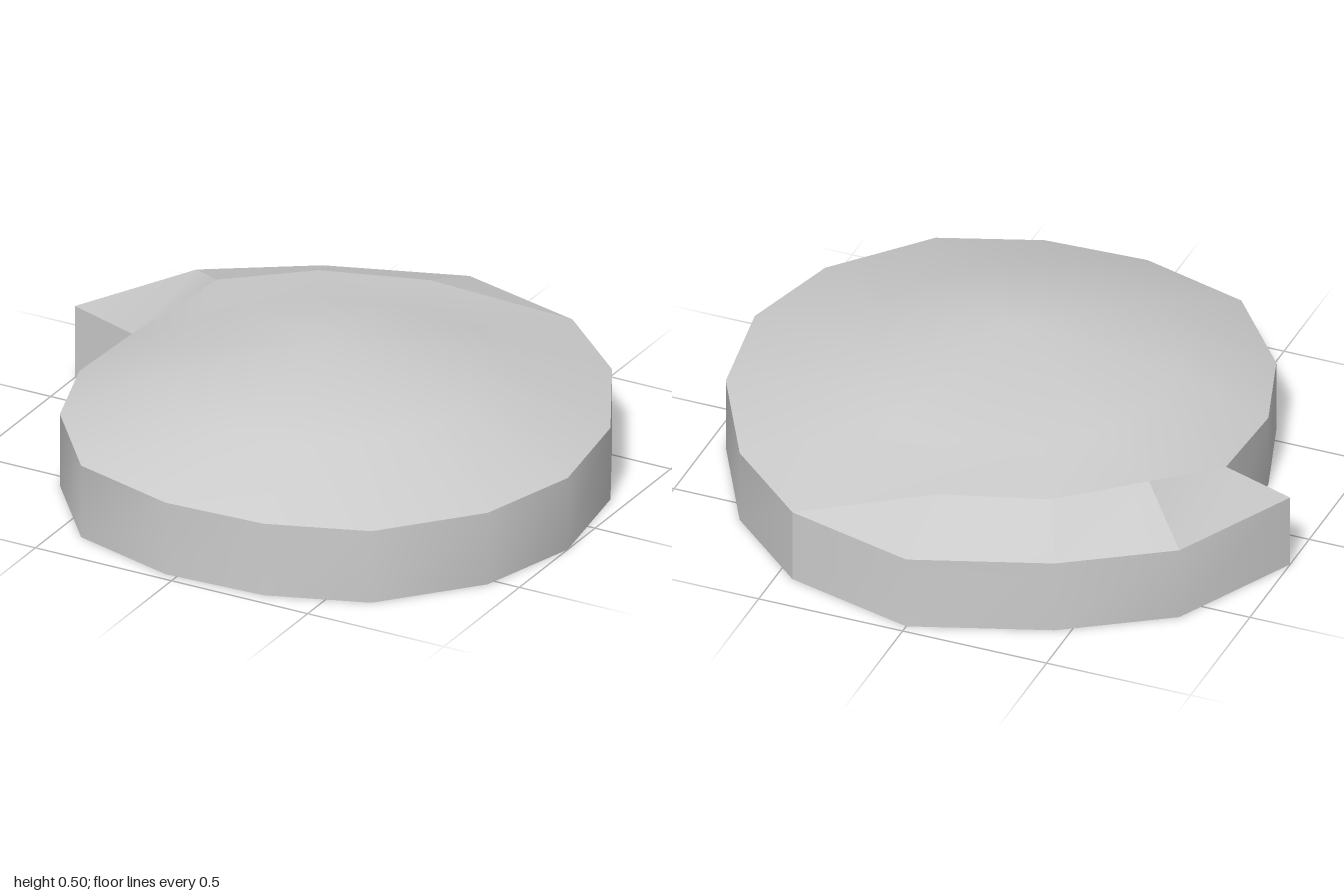
import * as THREE from 'three';
import { toCreasedNormals } from 'three/addons/utils/BufferGeometryUtils.js';

const RIM = 0.255; // height of the wall
const HOLLOW = 0.25; // rise of the underside compared with the roof
const CENTRE = [0.06, 0.11]; // apex position in x, z

// Main round rim, counter-clockwise seen from above (x, z)
const roundRim = [
  [-0.74, -0.07], [-0.755, 0.25], [-0.655, 0.56], [-0.41, 0.86], [-0.04, 0.967],
  [0.31, 0.95], [0.64, 0.83], [0.9, 0.53], [1, 0.18], [0.94, -0.21],
  [0.735, -0.59], [0.445, -0.85],
];
// Outer edge of the projecting lip, and the crest where it leaves the dome
const lipRim = [[0, -0.97], [-0.45, -0.81], [-0.79, -0.585], [-1, -0.16]];
const crest = [[0, -0.71], [-0.35, -0.6], [-0.6, -0.38]];

const at = (points, y) => points.map(([x, z]) => [x, y, z]);

// Quads between two open or closed rows of points
function strip(lower, upper, closed) {
  const faces = [];
  const n = lower.length;
  for (let i = 0; i < (closed ? n : n - 1); i++) {
    const j = (i + 1) % n;
    faces.push([lower[i], lower[j], upper[j]], [lower[i], upper[j], upper[i]]);
  }
  return faces;
}

// Triangles from a centre point to a closed loop
const fan = (centre, loop) => loop.map((p, i) => [centre, p, loop[(i + 1) % loop.length]]);

// A shallower copy of the roof at ground level, turned to face down
const undersideOf = (faces) =>
  faces.map(([a, b, c]) => [a, c, b].map(([x, y, z]) => [x, (y - RIM) * HOLLOW, z]));

function makeMesh(name, faces, crease) {
  const geometry = new THREE.BufferGeometry();
  geometry.setAttribute('position', new THREE.Float32BufferAttribute(faces.flat(2), 3));
  const mesh = new THREE.Mesh(
    toCreasedNormals(geometry, crease),
    new THREE.MeshStandardMaterial({ color: 0xcccccc }),
  );
  mesh.name = name;
  return mesh;
}

export function createModel() {
  const group = new THREE.Group();
  group.name = 'domedCap';

  // Shallow dome: apex, middle ring, then the rim and the raised crest
  const rim = at(roundRim, RIM);
  const inner = at(crest, 0.35);
  const domeEdge = [...rim, ...inner];
  const middle = domeEdge.map(([x, , z]) => {
    const dx = x - CENTRE[0], dz = z - CENTRE[1];
    const k = 0.54 / Math.hypot(dx, dz);
    return [CENTRE[0] + dx * k, 0.385, CENTRE[1] + dz * k];
  });
  const apex = [CENTRE[0], 0.495, CENTRE[1]];
  const dome = [...strip(domeEdge, middle, true), ...fan(apex, middle)];

  // Sloping lip from the crest down to the projecting edge
  const outer = at(lipRim, RIM);
  const lip = [
    [rim[rim.length - 1], outer[0], inner[0]],
    ...strip(outer.slice(0, 3), inner, false),
  ];

  // Level tip at the end of the lip, with the facet that rises to the crest
  const tip = [
    [outer[2], outer[3], rim[0]],
    [outer[2], rim[0], inner[2]],
  ];

  // Each roof part gets a slightly hollow underside
  const roof = [['dome', dome, 0.6], ['lip', lip, 0.12], ['lipTip', tip, 0.6]];
  for (const [name, faces, crease] of roof) {
    group.add(makeMesh(name, faces, crease));
    group.add(makeMesh(name + 'Underside', undersideOf(faces), crease));
  }

  // Upright walls of the round part and of the lip
  const lipEdge = [roundRim[roundRim.length - 1], ...lipRim, roundRim[0]];
  for (const [name, edge] of [['roundWall', roundRim], ['lipWall', lipEdge]]) {
    group.add(makeMesh(name, strip(at(edge, 0), at(edge, RIM), false), 0.7));
  }

  return group;
}
